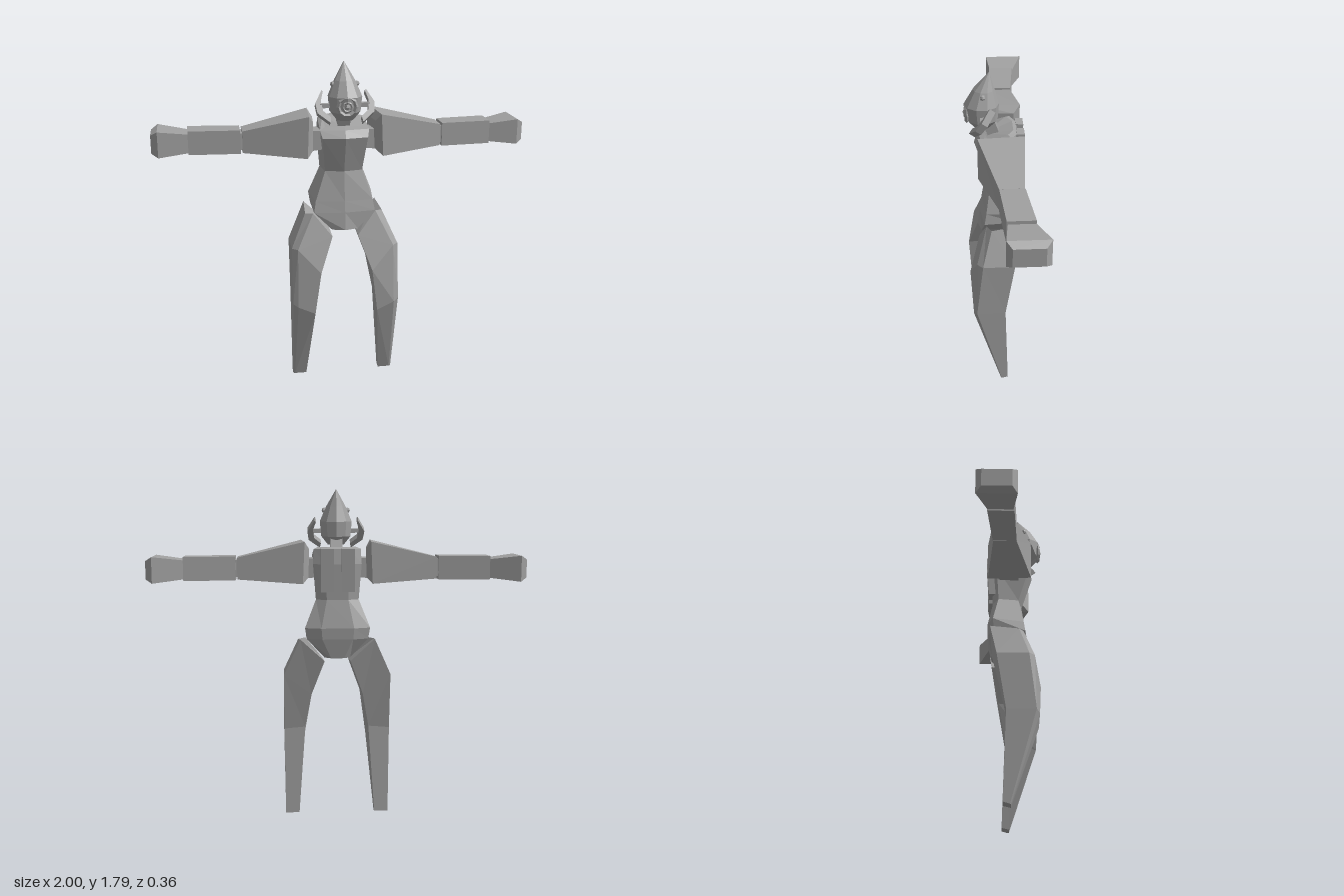
import * as THREE from 'three';

const grey = new THREE.MeshStandardMaterial({ color: 0xa0a0a0, flatShading: true });
grey.name = 'plain grey';

// Closed flat-shaded solid through equal-length rings of [x, y, z]; faces always point outwards.
function loft(name, rings, side = 1) {
  const n = rings[0].length, tris = [];
  const R = rings.map(r => r.map(([x, y, z]) => new THREE.Vector3(x * side, y, z)));
  for (let i = 0; i < R.length - 1; i++) {
    for (let j = 0; j < n; j++) {
      const k = (j + 1) % n;
      tris.push([R[i][j], R[i + 1][j], R[i + 1][k]], [R[i][j], R[i + 1][k], R[i][k]]);
    }
  }
  const last = R[R.length - 1];
  for (let j = 1; j < n - 1; j++) {
    tris.push([R[0][0], R[0][j], R[0][j + 1]], [last[0], last[j + 1], last[j]]);
  }
  const origin = R[0][0], cross = new THREE.Vector3();
  let volume = 0;
  for (const [a, b, c] of tris) {
    cross.crossVectors(b.clone().sub(origin), c.clone().sub(origin));
    volume += a.clone().sub(origin).dot(cross);
  }
  const pos = tris.flatMap(([a, b, c]) => (volume < 0 ? [a, c, b] : [a, b, c]).flatMap(v => v.toArray()));
  const geo = new THREE.BufferGeometry();
  geo.setAttribute('position', new THREE.Float32BufferAttribute(pos, 3));
  geo.computeVertexNormals();
  return part(name, geo);
}

function part(name, geo, x = 0, y = 0, z = 0) {
  const mesh = new THREE.Mesh(geo, grey);
  mesh.name = name;
  mesh.position.set(x, y, z);
  return mesh;
}

// Rectangular cross-section of an arm at a given x
const armRing = (x, y0, y1, z0, z1) => [[x, y1, z1], [x, y0, z1], [x, y0, z0], [x, y1, z0]];

// Six-cornered torso section: centre ridge and sides, front and back
const torsoRing = (yf, yb, wf, wb, zf, zb) => [
  [0, yf, zf + 0.005], [wf, yf, zf - 0.015], [wb, yb, zb + 0.03],
  [wb * 0.5, yb, zb], [-wb * 0.5, yb, zb], [-wb, yb, zb + 0.03], [-wf, yf, zf - 0.015],
];

function makeTorso() {
  const g = new THREE.Group();
  g.name = 'torso';
  g.add(loft('chest', [
    torsoRing(1.45, 1.49, 0.1, 0.1, 0.07, -0.07),
    torsoRing(1.44, 1.48, 0.13, 0.125, 0.1, -0.09),
    torsoRing(1.4, 1.4, 0.12, 0.13, 0.125, -0.1),
    torsoRing(1.21, 1.21, 0.1, 0.115, 0.065, -0.09),
  ]));
  g.add(loft('pelvis', [
    torsoRing(1.21, 1.21, 0.1, 0.115, 0.065, -0.09),
    torsoRing(1.05, 1.06, 0.155, 0.175, 0.09, -0.12),
    torsoRing(0.99, 1.0, 0.165, 0.165, 0.1, -0.115),
    torsoRing(0.895, 0.895, 0.07, 0.07, 0.112, -0.095),
  ]));
  return g;
}

function makeHead() {
  const g = new THREE.Group();
  g.name = 'head';
  // Pointed shell leaning back towards its tip: [y, radius, z centre]
  const profile = [[1.79, 0.002, 0.05], [1.7, 0.055, 0.078], [1.62, 0.09, 0.09], [1.54, 0.082, 0.087], [1.495, 0.045, 0.087]];
  g.add(loft('headShell', profile.map(([y, r, zc]) => Array.from({ length: 10 }, (_, i) => {
    const a = (i / 10) * Math.PI * 2;
    return [Math.sin(a) * r, y, zc + Math.cos(a) * r];
  }))));
  // Round eye socket with an inner lens
  g.add(part('eyeRim', new THREE.TorusGeometry(0.047, 0.011, 4, 10), 0, 1.575, 0.165));
  g.add(part('eyeRing', new THREE.TorusGeometry(0.024, 0.006, 4, 8), 0, 1.575, 0.174));
  g.add(part('eyeLens', new THREE.SphereGeometry(0.014, 6, 4), 0, 1.575, 0.172));
  for (const s of [1, -1]) {
    g.add(part('templeStud', new THREE.SphereGeometry(0.015, 6, 4), s * 0.062, 1.68, 0.085));
    // Bent cheek guard on a plane sloping forwards and down: [outer x, y, inner x, y]
    const path = [[0.117, 1.635, 0.11, 1.628], [0.155, 1.575, 0.125, 1.585], [0.148, 1.53, 0.118, 1.54], [0.085, 1.485, 0.08, 1.51]];
    g.add(loft('cheekGuard', path.map(([xo, yo, xi, yi]) => {
      const z = y => 0.04 + (1.635 - y) * 0.7;
      return [[xo, yo - 0.01, z(yo) - 0.016], [xo, yo + 0.01, z(yo) + 0.012],
        [xi, yi + 0.01, z(yi) + 0.012], [xi, yi - 0.01, z(yi) - 0.016]];
    }), s));
    g.add(part('cheekHinge', new THREE.BoxGeometry(0.06, 0.022, 0.03), s * 0.1, 1.57, 0.085));
  }
  return g;
}

function makeArm(s) {
  const g = new THREE.Group();
  g.name = s > 0 ? 'leftArm' : 'rightArm';
  g.add(loft('shoulderJoint', [armRing(0.1, 1.33, 1.43, -0.06, 0.05), armRing(0.2, 1.32, 1.43, -0.06, 0.05)], s));
  g.add(loft('upperArm', [
    [[0.165, 1.48, 0.08], [0.168, 1.33, 0.08], [0.155, 1.33, -0.085], [0.15, 1.48, -0.085]],
    [[0.19, 1.52, 0.118], [0.2, 1.298, 0.118], [0.185, 1.298, -0.12], [0.175, 1.52, -0.12]],
    armRing(0.53, 1.322, 1.437, -0.092, 0.03),
  ], s));
  g.add(loft('elbow', [armRing(0.52, 1.335, 1.425, -0.08, 0.018), armRing(0.56, 1.335, 1.425, -0.08, 0.018)], s));
  g.add(loft('forearm', [armRing(0.54, 1.318, 1.443, -0.094, 0.03), armRing(0.81, 1.318, 1.443, -0.122, 0.012)], s));
  g.add(loft('hand', [
    armRing(0.8, 1.328, 1.425, -0.118, 0.006),
    armRing(0.965, 1.31, 1.447, -0.178, 0.024),
    armRing(1.0, 1.33, 1.425, -0.15, -0.002),
  ], s));
  return g;
}

// Corner order: front inner, front outer, outer front, back outer, back inner
function makeLeg(s) {
  return loft(s > 0 ? 'leftLeg' : 'rightLeg', [
    [[0.07, 0.86, 0.11], [0.17, 0.985, 0.075], [0.21, 0.98, 0.05], [0.2, 1.0, -0.105], [0.07, 0.88, -0.095]],
    [[0.14, 0.67, 0.165], [0.26, 0.8, 0.13], [0.29, 0.8, 0.1], [0.29, 0.8, -0.07], [0.14, 0.69, -0.055]],
    [[0.172, 0.43, 0.15], [0.265, 0.475, 0.152], [0.292, 0.49, 0.135], [0.29, 0.49, -0.02], [0.175, 0.5, -0.02]],
    [[0.21, 0, 0.005], [0.275, 0, 0.005], [0.285, 0, 0], [0.285, 0.01, -0.035], [0.21, 0.01, -0.035]],
  ], s);
}

export function createModel() {
  const model = new THREE.Group();
  model.name = 'figure';
  model.add(makeTorso(), makeHead());
  const neck = part('neck', new THREE.BoxGeometry(0.065, 0.14, 0.06), 0, 1.5, 0.045);
  neck.rotation.x = 0.35;
  model.add(neck);
  for (const s of [1, -1]) {
    model.add(makeArm(s), makeLeg(s));
    // Raised plate on the back
    const plate = part('backPlate', new THREE.BoxGeometry(0.07, 0.23, 0.04), s * 0.055, 1.37, -0.1);
    plate.rotation.x = -0.06;
    model.add(plate);
  }
  return model;
}
